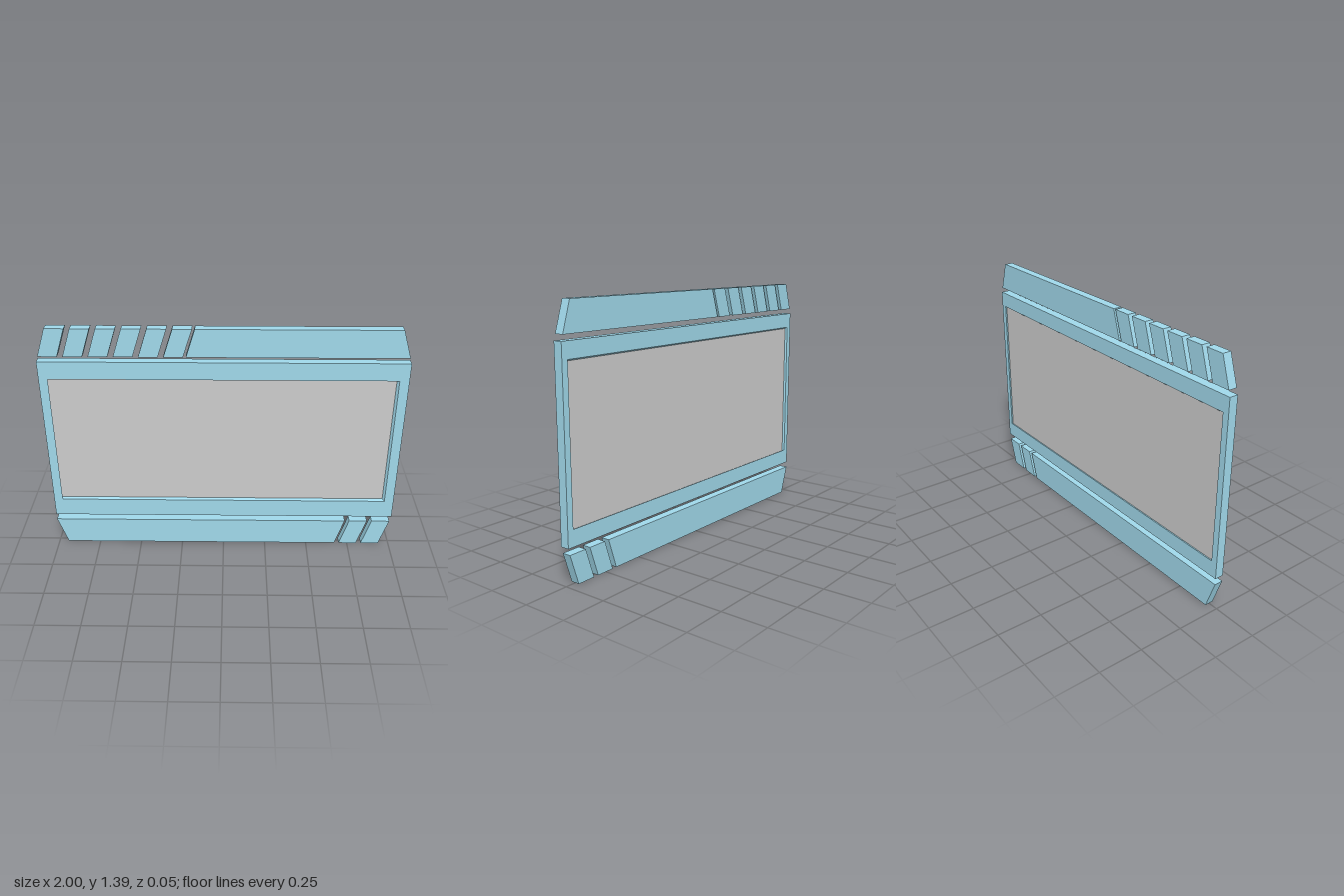
import * as THREE from 'three';

const D = 0.025; // half thickness
const teal = new THREE.MeshStandardMaterial({ color: 0xa0d8ea, flatShading: true });
const grey = new THREE.MeshStandardMaterial({ color: 0xcccccc, flatShading: true });

// Flat slab with slanted ends, given its bottom and top x ranges
function slab(name, y0, y1, bottom, top) {
  const shape = new THREE.Shape([
    new THREE.Vector2(bottom[0], y0), new THREE.Vector2(bottom[1], y0),
    new THREE.Vector2(top[1], y1), new THREE.Vector2(top[0], y1),
  ]);
  const geo = new THREE.ExtrudeGeometry(shape, { depth: 2 * D, bevelEnabled: false });
  geo.translate(0, 0, -D);
  const mesh = new THREE.Mesh(geo, teal);
  mesh.name = name;
  return mesh;
}

// Skin joining a row of rectangles [x0, x1, y0, y1, z]
function loftRects(rects) {
  const loops = rects.map(([x0, x1, y0, y1, z]) => [[x0, y0, z], [x1, y0, z], [x1, y1, z], [x0, y1, z]]);
  const pos = [];
  for (let i = 0; i < loops.length - 1; i++) {
    const a = loops[i], b = loops[i + 1];
    for (let k = 0; k < 4; k++) {
      const n = (k + 1) % 4;
      pos.push(...a[k], ...a[n], ...b[n], ...a[k], ...b[n], ...b[k]);
    }
  }
  const geo = new THREE.BufferGeometry();
  geo.setAttribute('position', new THREE.Float32BufferAttribute(pos, 3));
  geo.computeVertexNormals();
  return geo;
}

// Flat panel filling a recess floor
function panel(name, [x0, x1, y0, y1, z], back) {
  const mesh = new THREE.Mesh(new THREE.PlaneGeometry(x1 - x0, y1 - y0), grey);
  mesh.position.set((x0 + x1) / 2, (y0 + y1) / 2, z);
  if (back) mesh.rotation.y = Math.PI;
  mesh.name = name;
  return mesh;
}

export function createModel() {
  const group = new THREE.Group();
  group.name = 'displayPanel';

  // Frame with a shallow, slightly skewed recess on each side
  const frontFloor = [-0.955, 0.935, 0.32, 1.1, 0.012];
  const backFloor = [-0.958, 0.97, 0.285, 1.105, -0.013];
  const frame = new THREE.Mesh(loftRects([
    backFloor,
    [-0.964, 0.964, 0.29, 1.113, -D],
    [-1, 1, 0.2, 1.2, -D],
    [-1, 1, 0.2, 1.2, D],
    [-0.95, 0.947, 0.31, 1.097, D],
    frontFloor,
  ]), teal);
  frame.name = 'frame';
  group.add(frame, panel('frontScreen', frontFloor, false), panel('backScreen', backFloor, true));

  // Upper trim: a long bar and six slanted slats
  group.add(slab('upperBar', 1.23, 1.39, [-0.2, 0.99], [-0.15, 0.94]));
  for (let i = 0; i < 6; i++) {
    const x = -0.99 + i * 0.134;
    group.add(slab('upperSlat', 1.23, 1.39, [x, x + 0.104], [x + 0.052, x + 0.156]));
  }

  // Lower trim: a long bar and two slanted slats
  group.add(slab('lowerBar', 0, 0.165, [-0.945, 0.673], [-1, 0.725]));
  for (let i = 0; i < 2; i++) {
    const x = 0.7 + i * 0.134;
    group.add(slab('lowerSlat', 0, 0.165, [x, x + 0.105], [x + 0.052, x + 0.157]));
  }
  return group;
}
